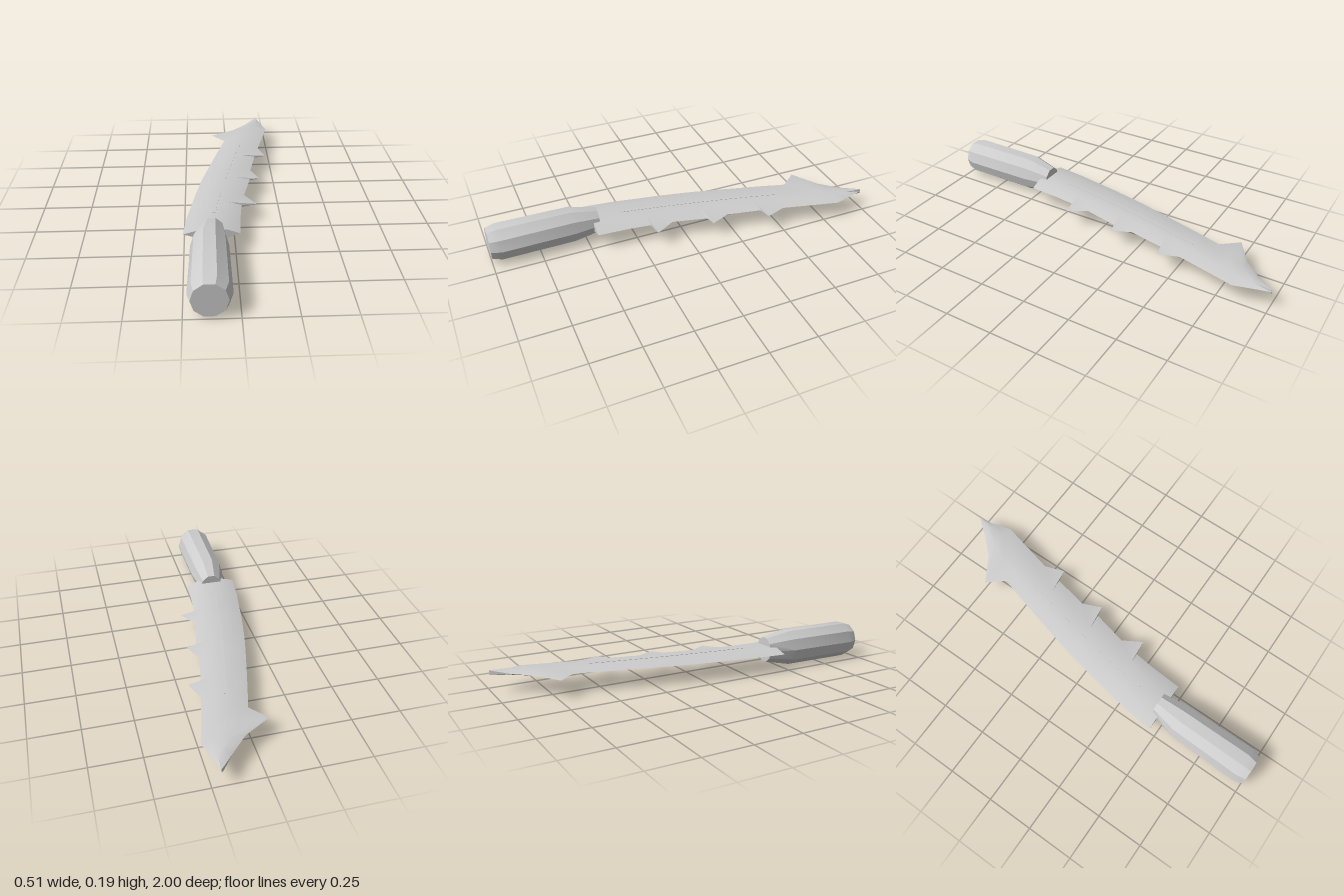
import * as THREE from 'three';
import { toCreasedNormals } from 'three/addons/utils/BufferGeometryUtils.js';

const MID = 0.096; // height of the blade's middle plane
const halfThick = (z) => 0.0202 + 0.008 * z; // blade thins toward its tip

// Blade stations: cutting edge x,z | flat from x to x at z | back edge x,z
const STATIONS = [
  [-0.254, 0.466, -0.17, -0.045, 0.466, 0.021, 0.466],
  [-0.235, 0.3, -0.16, -0.035, 0.3, 0.032, 0.3],
  [-0.215, 0.19, -0.145, -0.02, 0.19, 0.045, 0.185],
  [-0.214, 0.185, -0.145, -0.02, 0.19, 0.122, 0.175], // first tooth
  [-0.195, 0.07, -0.125, 0.0, 0.07, 0.063, 0.074],
  [-0.16, -0.1, -0.09, 0.02, -0.1, 0.106, -0.11],
  [-0.159, -0.105, -0.09, 0.02, -0.1, 0.159, -0.122], // second tooth
  [-0.133, -0.21, -0.06, 0.045, -0.215, 0.116, -0.222],
  [-0.084, -0.397, -0.015, 0.08, -0.397, 0.153, -0.407],
  [-0.083, -0.4, -0.015, 0.08, -0.397, 0.217, -0.418], // third tooth
  [-0.05, -0.524, 0.02, 0.11, -0.524, 0.18, -0.524],
  [-0.015, -0.645, 0.055, 0.14, -0.645, 0.21, -0.645],
  [-0.09, -0.735, 0.07, 0.165, -0.735, 0.232, -0.735], // barb
  [0.048, -0.82, 0.12, 0.19, -0.825, 0.254, -0.825],
  [0.13, -0.91, 0.165, 0.2, -0.91, 0.23, -0.91],
  [0.203, -0.998, 0.2045, 0.2065, -1.0, 0.208, -0.998],
];

// One half of the blade; side is 1 for the upper face and -1 for the lower
function bladeHalf(side) {
  const pos = [], index = [];
  for (const [lx, lz, fx, gx, fz, rx, rz] of STATIONS) {
    const y = MID + side * halfThick(fz);
    pos.push(lx, MID, lz, fx, y, fz, gx, y, fz, rx, MID, rz);
  }
  const tri = (a, b, c) => (side > 0 ? index.push(a, b, c) : index.push(a, c, b));
  for (let i = 0; i < STATIONS.length - 1; i++) {
    for (let j = 0; j < 3; j++) {
      const a = i * 4 + j;
      tri(a, a + 1, a + 5);
      tri(a, a + 5, a + 4);
    }
  }
  // end caps
  const e = (STATIONS.length - 1) * 4;
  tri(0, 3, 2);
  tri(0, 2, 1);
  tri(e, e + 1, e + 2);
  tri(e, e + 2, e + 3);
  const g = new THREE.BufferGeometry();
  g.setAttribute('position', new THREE.Float32BufferAttribute(pos, 3));
  g.setIndex(index);
  return toCreasedNormals(g, 0.5);
}

// Narrow line following the curve of the blade
function fullerLine(side) {
  const g = new THREE.BoxGeometry(0.014, 0.003, 0.84, 1, 1, 10);
  const p = g.attributes.position;
  for (let i = 0; i < p.count; i++) {
    const z = p.getZ(i) - 0.12;
    const t = z + 0.54;
    p.setXYZ(i, p.getX(i) + 0.067 - 0.25 * t + 0.06 * t * t,
      MID + side * halfThick(z) + p.getY(i), z);
  }
  g.computeVertexNormals();
  return g;
}

// Ten-sided grip; rings run from the pommel end to the blade end
function gripGeometry() {
  const rings = [ // z, centre x, x radius, y radius
    [1.0, -0.135, 0.083, 0.084],
    [0.95, -0.132, 0.099, 0.099],
    [0.57, -0.127, 0.091, 0.099],
    [0.43, -0.115, 0.062, 0.07],
  ];
  const g = new THREE.CylinderGeometry(1, 1, 1, 10, 3, false, Math.PI / 2);
  g.rotateX(Math.PI / 2);
  const p = g.attributes.position;
  for (let i = 0; i < p.count; i++) {
    const [z, cx, rx, ry] = rings[Math.round((0.5 - p.getZ(i)) * 3)];
    p.setXYZ(i, cx + p.getX(i) * rx, MID + p.getY(i) * ry, z);
  }
  return toCreasedNormals(g, 0.55);
}

export function createModel() {
  const model = new THREE.Group();
  model.name = 'serratedKnife';
  const grey = new THREE.MeshStandardMaterial({ color: 0xcccccc });
  grey.name = 'lightGrey';
  const add = (name, geometry) => {
    const mesh = new THREE.Mesh(geometry, grey);
    mesh.name = name;
    model.add(mesh);
  };
  add('grip', gripGeometry());
  for (const [label, side] of [['upper', 1], ['lower', -1]]) {
    add(label + 'Blade', bladeHalf(side));
    add(label + 'FullerLine', fullerLine(side));
  }
  return model;
}
